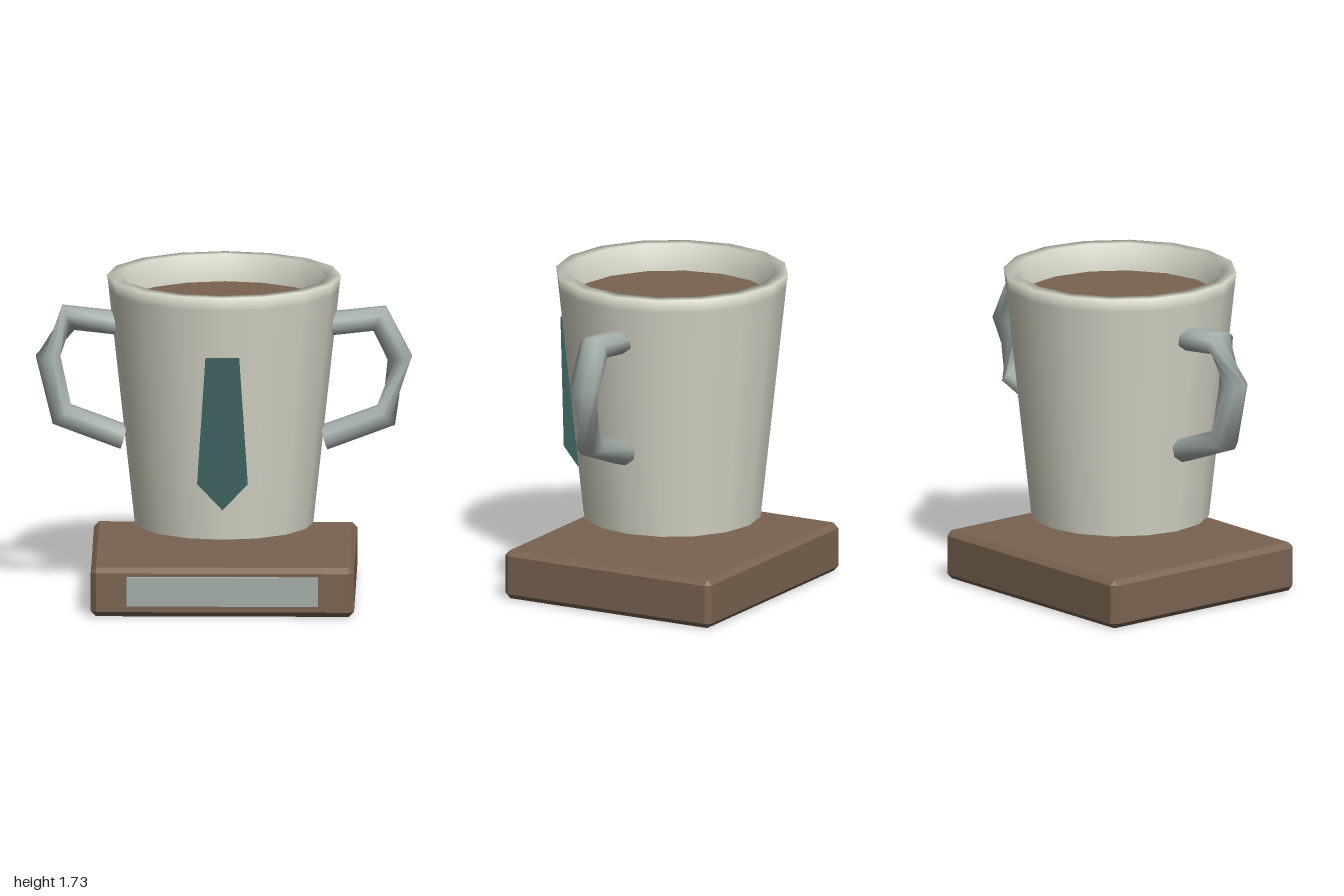
import * as THREE from 'three';
import { ConvexGeometry } from 'three/addons/geometries/ConvexGeometry.js';

const CENTER_Z = -0.012;
const SIDES = 16;

function mesh(name, geometry, color, options = {}) {
  const m = new THREE.Mesh(geometry, new THREE.MeshStandardMaterial({ color, ...options }));
  m.name = name;
  return m;
}

// Box with every edge cut by a flat chamfer
function chamferBox(w, h, d, c) {
  const half = [w / 2, h / 2, d / 2];
  const points = [];
  for (const sx of [-1, 1]) for (const sy of [-1, 1]) for (const sz of [-1, 1]) {
    for (let full = 0; full < 3; full++) {
      const p = half.map((v, i) => (i === full ? v : v - c));
      points.push(new THREE.Vector3(p[0] * sx, p[1] * sy, p[2] * sz));
    }
  }
  return new ConvexGeometry(points);
}

// Octagonal tube through mitred rings, with a twist in one segment
function handleGeometry(side, twistAt) {
  // outer x, outer y, inner x, inner y
  const rings = [
    [0.58, 1.53, 0.57, 1.41],
    [0.86, 1.56, 0.795, 1.435],
    [1.0, 1.29, 0.87, 1.28],
    [0.91, 0.925, 0.815, 1.02],
    [0.55, 0.79, 0.515, 0.91],
  ];
  const n = 8, k = 1 / Math.cos(Math.PI / n), halfWidth = 0.077;
  const pos = [], index = [];
  rings.forEach(([ox, oy, ix, iy], r) => {
    const shift = r >= twistAt ? 3 : 0;
    for (let j = 0; j < n; j++) {
      const a = ((j + 0.5 + shift) / n) * Math.PI * 2;
      const u = Math.cos(a) * k / 2;
      pos.push(side * ((ox + ix) / 2 + u * (ox - ix)), (oy + iy) / 2 + u * (oy - iy),
        Math.sin(a) * k * halfWidth);
      if (r === rings.length - 1) continue;
      const p = r * n + j, q = r * n + (j + 1) % n;
      if (side > 0) index.push(p, q, p + n, q, q + n, p + n);
      else index.push(p, p + n, q, q, p + n, q + n);
    }
  });
  const g = new THREE.BufferGeometry();
  g.setAttribute('position', new THREE.Float32BufferAttribute(pos, 3));
  g.setIndex(index);
  g.computeVertexNormals();
  return g;
}

export function createModel() {
  const group = new THREE.Group();

  // Wooden plinth with its front plate
  const base = mesh('base', chamferBox(1.4, 0.265, 1.265, 0.028), 0x7a6350);
  base.position.set(0, 0.1325, CENTER_Z);
  const plate = mesh('plate', new THREE.BoxGeometry(1.02, 0.155, 0.05), 0xa3ada8);
  plate.position.set(0, 0.1425, 0.625);
  group.add(base, plate);

  // Cup wall and rolled rim
  const profile = [[0.475, 0.39], [0.613, 1.66], [0.622, 1.73], [0.55, 1.73], [0.53, 1.56]]
    .map(([x, y]) => new THREE.Vector2(x, y));
  const cup = mesh('cup', new THREE.LatheGeometry(profile, SIDES), 0xd6d6c8, { side: THREE.DoubleSide });
  cup.position.z = CENTER_Z;
  const cupBottom = mesh('cupBottom', new THREE.CircleGeometry(0.475, SIDES), 0xd6d6c8);
  cupBottom.rotation.x = Math.PI / 2;
  cupBottom.position.set(0, 0.39, CENTER_Z);
  const drink = mesh('drink', new THREE.CircleGeometry(0.533, SIDES), 0x7a6350);
  drink.rotation.x = -Math.PI / 2;
  drink.position.set(0, 1.585, CENTER_Z);
  group.add(cup, cupBottom, drink);

  // Handles on both sides
  for (const [name, side, twistAt] of [['leftHandle', 1, 3], ['rightHandle', -1, 2]]) {
    const handle = mesh(name, handleGeometry(side, twistAt), 0xa3ada8, { side: THREE.DoubleSide });
    handle.position.z = CENTER_Z;
    group.add(handle);
  }

  // Flat necktie leaning along the front of the cup
  const outline = [[-0.09, 1.41], [-0.135, 0.715], [0, 0.57], [0.135, 0.715], [0.09, 1.41]]
    .map(([x, y]) => new THREE.Vector2(x, y));
  const tieGeometry = new THREE.ShapeGeometry(new THREE.Shape(outline));
  const p = tieGeometry.attributes.position;
  for (let i = 0; i < p.count; i++) p.setZ(i, 0.565 + (p.getY(i) - 0.57) * 0.067);
  tieGeometry.computeVertexNormals();
  group.add(mesh('necktie', tieGeometry, 0x3f6663, { side: THREE.DoubleSide }));

  return group;
}
